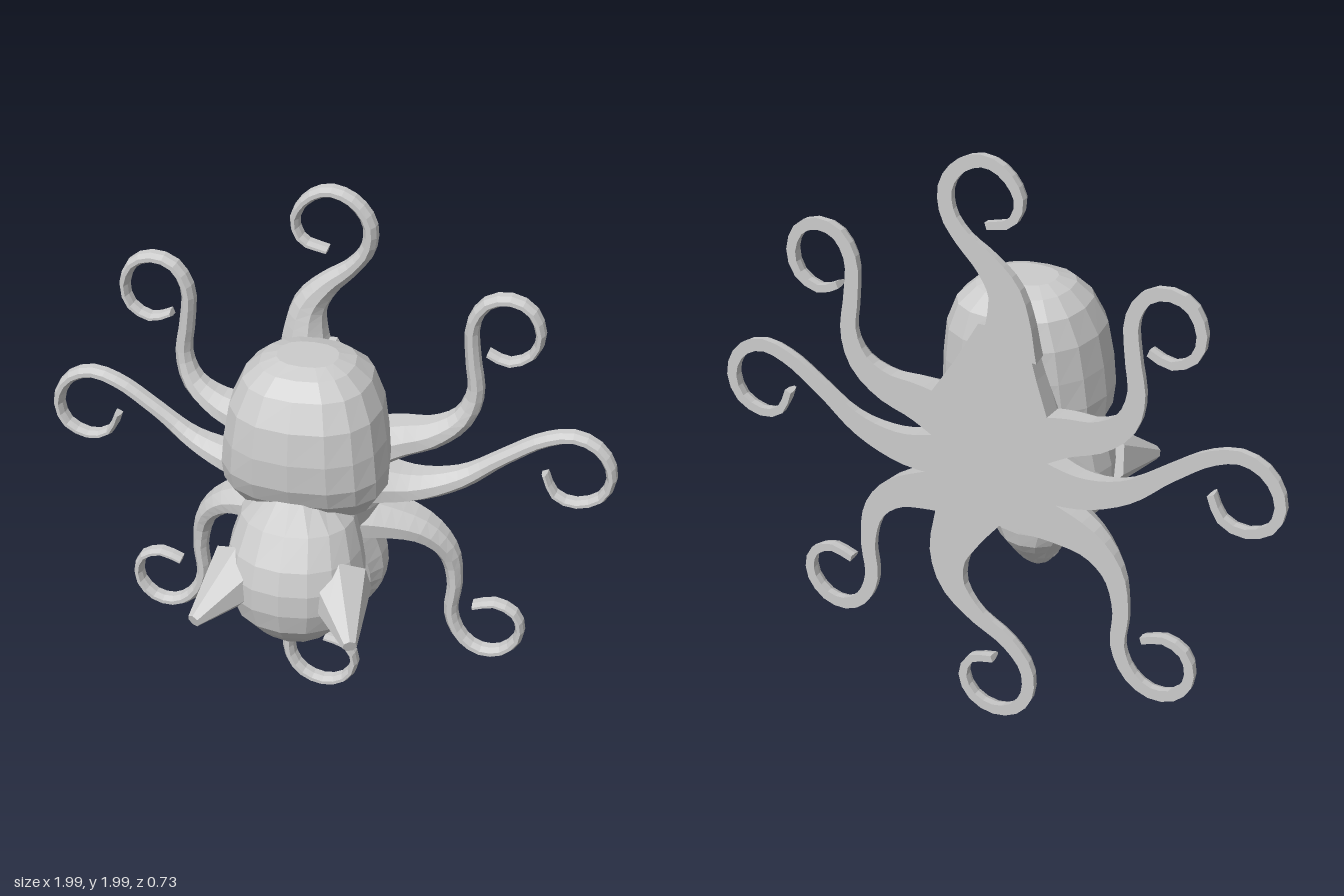
import * as THREE from 'three';

const BACK = -0.36;
const material = new THREE.MeshStandardMaterial({ color: 0xcccccc, flatShading: true });

// Closed skin over equal-length rings, capped at both ends, always facing outward
function loft(rings) {
  const n = rings[0].length, pos = [], idx = [];
  rings.forEach(r => r.forEach(p => pos.push(p.x, p.y, p.z)));
  for (let i = 0; i < rings.length - 1; i++) {
    for (let j = 0; j < n; j++) {
      const a = i * n + j, b = i * n + (j + 1) % n;
      idx.push(a, b, a + n, b, b + n, a + n);
    }
  }
  [0, rings.length - 1].forEach((row, end) => {
    const c = new THREE.Vector3();
    rings[row].forEach(p => c.addScaledVector(p, 1 / n));
    const center = pos.length / 3;
    pos.push(c.x, c.y, c.z);
    for (let j = 0; j < n; j++) {
      const a = row * n + j, b = row * n + (j + 1) % n;
      if (end) idx.push(center, a, b); else idx.push(center, b, a);
    }
  });
  // Signed volume decides the winding
  const v = k => new THREE.Vector3().fromArray(pos, idx[k] * 3);
  let volume = 0;
  for (let k = 0; k < idx.length; k += 3) volume += v(k).dot(v(k + 1).cross(v(k + 2)));
  if (volume < 0) idx.reverse();
  const g = new THREE.BufferGeometry();
  g.setAttribute('position', new THREE.Float32BufferAttribute(pos, 3));
  g.setIndex(idx);
  g.computeVertexNormals();
  return g;
}

// Horizontal rounded sections: rows of [y, half width, front z, back z]
function stack(rows, sides, power) {
  const bend = c => Math.sign(c) * Math.pow(Math.abs(c), 2 / power);
  return rows.map(([y, w, f, b]) => Array.from({ length: sides }, (_, j) => {
    const a = (j / sides) * Math.PI * 2;
    return new THREE.Vector3(w * bend(Math.sin(a)), y, (f + b) / 2 + (f - b) / 2 * bend(Math.cos(a)));
  }));
}

// Flat-backed tapering arm along a curling path
function tentacle(points, rootWidth, rootHeight) {
  const curve = new THREE.CatmullRomCurve3(points.map(([x, y]) => new THREE.Vector3(x, y, BACK)));
  const section = [[-1, 0], [-0.9, 0.55], [-0.35, 1], [0.35, 1], [0.9, 0.55], [1, 0]];
  const rings = [], N = 32;
  for (let i = 0; i <= N; i++) {
    const t = i / N, p = curve.getPointAt(t), d = curve.getTangentAt(t);
    const w = 0.012 + 0.026 * (1 - t) + (rootWidth - 0.038) * Math.max(0, 1 - t / 0.4) ** 1.4;
    const h = 0.046 + (rootHeight - 0.046) * Math.max(0, 1 - t / 0.36) ** 1.4;
    rings.push(section.map(([s, k]) => new THREE.Vector3(p.x - d.y * w * s, p.y + d.x * w * s, BACK + h * k)));
  }
  return loft(rings);
}

export function createModel() {
  const model = new THREE.Group();
  const add = (name, geometry) => {
    const m = new THREE.Mesh(geometry, material);
    m.name = name;
    model.add(m);
    return m;
  };

  // Bulbous body
  add('body', loft(stack([
    [1.52, 0.1, -0.01, -0.18], [1.5, 0.155, 0.05, -0.25], [1.45, 0.21, 0.1, -0.31],
    [1.36, 0.25, 0.145, -0.33], [1.25, 0.268, 0.16, -0.33], [1.15, 0.278, 0.155, -0.32],
    [1.08, 0.275, 0.125, -0.3], [1.0, 0.23, 0.06, -0.27], [0.95, 0.15, 0, -0.2],
  ], 16, 2.4)));

  // Flat-backed hub joining the arms
  const outline = [[-0.13, 1.45], [0.03, 1.45], [0.12, 1.3], [0.21, 1.17], [0.2, 1.03], [0.22, 0.88],
    [0.2, 0.77], [0.12, 0.72], [-0.03, 0.75], [-0.2, 0.77], [-0.22, 0.88], [-0.2, 1.03], [-0.21, 1.17], [-0.17, 1.3]];
  add('hub', loft([[BACK, 1], [-0.28, 0.97], [-0.2, 0.88], [-0.1, 0.7]].map(([z, s]) =>
    outline.map(([x, y]) => new THREE.Vector3(x * s, 1.05 + (y - 1.05) * s, z)))));

  // Head pointing downward, with shallow eye sockets
  const headRings = stack([
    [1.1, 0.1, 0.125, -0.1], [1.0, 0.19, 0.19, -0.14], [0.9, 0.22, 0.25, -0.155],
    [0.82, 0.235, 0.272, -0.16], [0.74, 0.235, 0.272, -0.165], [0.66, 0.208, 0.25, -0.17],
    [0.61, 0.175, 0.21, -0.17], [0.56, 0.135, 0.16, -0.16], [0.52, 0.1, 0.08, -0.13],
    [0.48, 0.075, 0.02, -0.095], [0.45, 0.05, -0.01, -0.07], [0.436, 0.025, -0.025, -0.055],
  ], 16, 2.1);
  for (const p of headRings.flat()) {
    const near = Math.hypot(Math.abs(p.x) - 0.12, p.y - 0.575, p.z - 0.03);
    if (near < 0.07) p.x *= 0.86;
  }
  add('head', loft(headRings));

  for (const s of [-1, 1]) {
    const side = s > 0 ? 'left' : 'right';
    // Ear: blunt pyramid leaning forward and outward
    const base = new THREE.Vector3(0.165 * s, 0.8, 0.13);
    const tip = new THREE.Vector3(0.262 * s, 0.732, 0.355);
    const earGeometry = new THREE.CylinderGeometry(0.024, 0.115, base.distanceTo(tip), 7, 2);
    const ear = add(side + 'Ear', earGeometry);
    ear.position.copy(base).lerp(tip, 0.5);
    ear.quaternion.setFromUnitVectors(new THREE.Vector3(0, 1, 0), tip.clone().sub(base).normalize());
    // Muzzle cheek
    const cheek = add(side + 'Cheek', new THREE.IcosahedronGeometry(0.045, 1));
    cheek.position.set(0.042 * s, 0.505, -0.035);

    // Side arms, mirrored
    const mirror = pts => pts.map(([x, y]) => [x * s, y]);
    add(side + 'UpperArm', tentacle(mirror([[0.14, 1.08], [0.26, 1.125], [0.38, 1.155], [0.47, 1.22], [0.505, 1.32],
      [0.49, 1.45], [0.485, 1.57], [0.53, 1.65], [0.6, 1.672], [0.67, 1.645], [0.708, 1.56], [0.685, 1.485],
      [0.61, 1.448], [0.54, 1.475]]), 0.085, 0.2));
    add(side + 'MiddleArm', tentacle(mirror([[0.1, 0.97], [0.2, 0.95], [0.33, 0.945], [0.48, 0.99], [0.62, 1.09],
      [0.75, 1.175], [0.85, 1.2], [0.935, 1.16], [0.978, 1.07], [0.95, 0.985], [0.86, 0.948], [0.79, 0.975],
      [0.755, 1.05]]), 0.085, 0.21));
    add(side + 'LowerArm', tentacle(mirror([[0.12, 0.83], [0.23, 0.81], [0.36, 0.765], [0.44, 0.68], [0.468, 0.55],
      [0.46, 0.42], [0.5, 0.325], [0.57, 0.278], [0.65, 0.288], [0.708, 0.36], [0.693, 0.45], [0.62, 0.488],
      [0.54, 0.465]]), 0.085, 0.22));
  }

  // Single arms above and below
  add('topArm', tentacle([[-0.07, 1.36], [-0.075, 1.48], [-0.06, 1.57], [0, 1.65], [0.08, 1.72], [0.13, 1.79],
    [0.135, 1.88], [0.08, 1.953], [0, 1.978], [-0.07, 1.945], [-0.113, 1.87], [-0.085, 1.8], [0, 1.775]], 0.1, 0.12));
  add('bottomArm', tentacle([[0.06, 0.82], [0.12, 0.7], [0.16, 0.59], [0.145, 0.48], [0.06, 0.385], [-0.06, 0.31],
    [-0.13, 0.22], [-0.13, 0.12], [-0.08, 0.05], [0, 0.024], [0.075, 0.05], [0.113, 0.12], [0.085, 0.2],
    [0, 0.225]], 0.12, 0.2));

  return model;
}
